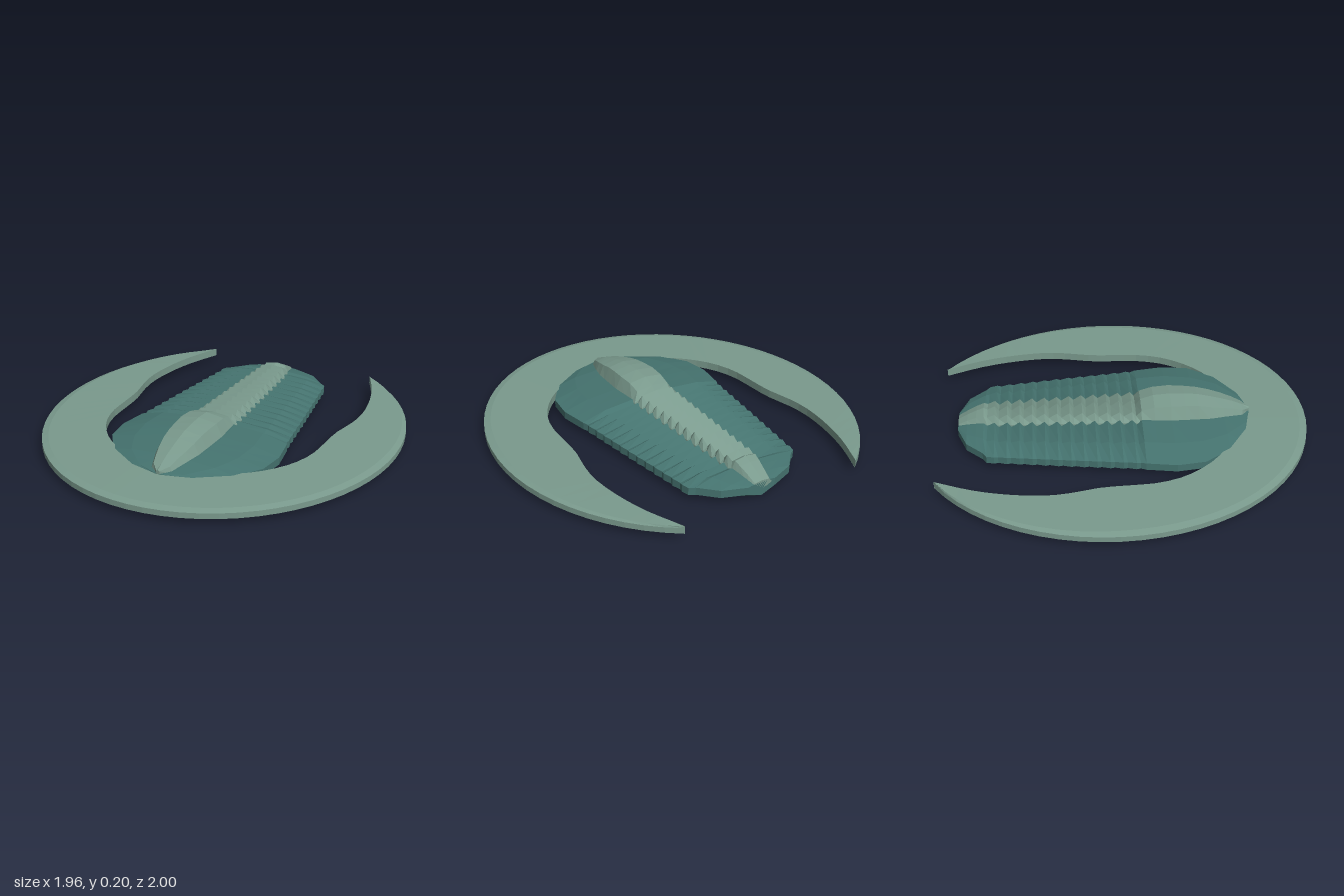
import * as THREE from 'three';

const lerp = THREE.MathUtils.lerp;

// Piecewise-linear lookup in [key, value] pairs, keys descending
function sample(pairs, k) {
  for (let i = 0; i < pairs.length - 1; i++) {
    const [k0, v0] = pairs[i], [k1, v1] = pairs[i + 1];
    if (k >= k1) return lerp(v0, v1, (k0 - k) / (k0 - k1));
  }
  return pairs[pairs.length - 1][1];
}

// Skin a row of closed rings, with a cap at each end
function loft(rings) {
  const n = rings[0].length, index = [];
  for (let i = 0; i < rings.length - 1; i++) {
    for (let j = 0; j < n; j++) {
      const a = i * n + j, c = i * n + (j + 1) % n;
      index.push(a, a + n, c, a + n, c + n, c);
    }
  }
  const last = (rings.length - 1) * n;
  for (let j = 1; j < n - 1; j++) index.push(0, j, j + 1, last, last + j + 1, last + j);
  const geo = new THREE.BufferGeometry();
  geo.setAttribute('position', new THREE.Float32BufferAttribute(rings.flat(2), 3));
  geo.setIndex(index);
  geo.computeVertexNormals();
  return geo;
}

// Symmetrical ring: low centre point, right side going up, optional crown, left side
function ring(z, low, side, crown) {
  const pts = [[0, low, z], ...side.map(([x, y]) => [x, y, z])];
  if (crown !== undefined) pts.push([0, crown, z]);
  for (const [x, y] of [...side].reverse()) pts.push([-x, y, z]);
  return pts;
}

// Profiles along z
const WIDTH = [[0.69, 0.02], [0.65, 0.18], [0.54, 0.35], [0.4, 0.445], [0.25, 0.465], [0.06, 0.435],
  [-0.3, 0.39], [-0.74, 0.33], [-0.76, 0.295], [-0.85, 0.21], [-0.9, 0.08]];
const PLEURA = [[0.69, 0.08], [0.54, 0.105], [0.25, 0.122], [0.06, 0.125], [-0.74, 0.115], [-0.83, 0.1], [-0.9, 0.08]];
const LOBE_WIDTH = [[0.69, 0.012], [0.65, 0.065], [0.5, 0.12], [0.25, 0.145], [0.07, 0.135],
  [-0.3, 0.115], [-0.74, 0.09], [-0.9, 0.06]];
const LOBE_TOP = [[0.69, 0.1], [0.6, 0.14], [0.5, 0.172], [0.4, 0.196], [0.28, 0.208], [0.16, 0.2],
  [0.07, 0.17], [-0.74, 0.165], [-0.82, 0.135], [-0.9, 0.09]];

// Stations: smooth head, sawtooth segments, smooth tail; drop marks a groove
function stations() {
  const list = [0.69, 0.65, 0.6, 0.54, 0.47, 0.4, 0.33, 0.25, 0.16, 0.09].map(z => ({ z, drop: 0 }));
  for (let i = 0; i < 12; i++) {
    const z = 0.05 - i * 0.0673;
    list.push({ z: z + 0.012, drop: 1 }, { z: z - 0.01, drop: 0 });
  }
  list.push({ z: -0.74, drop: 0.6 });
  for (const z of [-0.76, -0.8, -0.85, -0.88, -0.9]) list.push({ z, drop: 0 });
  return list;
}

function makeBody() {
  return loft(stations().map(({ z, drop }) => {
    const w = sample(WIDTH, z) - drop * 0.008;
    const a = Math.min(sample(LOBE_WIDTH, z), w * 0.6);
    const p = sample(PLEURA, z) - drop * 0.022;
    const edge = Math.min(0.075, p - 0.004);
    return ring(z, 0.004, [
      [w, 0.034],
      [w, edge - drop * 0.004],
      [lerp(a, w, 0.55), lerp(edge, p, 0.72)],
      [a, p],
    ]);
  }));
}

function makeLobe() {
  return loft(stations().map(({ z, drop }) => {
    const a = sample(LOBE_WIDTH, z);
    const p = sample(PLEURA, z) - 0.026;
    const top = sample(LOBE_TOP, z) - drop * 0.032;
    return ring(z, p - 0.01, [
      [a, p],
      [a * 0.98, p + 0.014],
      [a * 0.72, lerp(p, top, 0.86)],
    ], top);
  }));
}

// Crescent brim swept from one horn tip round the front to the other
function makeBrim() {
  const half = [[0.52, -0.997], [0.6, -0.8], [0.645, -0.62], [0.665, -0.43], [0.652, -0.3], [0.622, -0.16],
    [0.612, 0], [0.605, 0.12], [0.57, 0.25], [0.5, 0.37], [0.38, 0.49], [0.2, 0.58]];
  const pts = [...half.map(([x, z]) => [-x, z]), [0, 0.61], ...[...half].reverse()];
  const inner = new THREE.CatmullRomCurve3(pts.map(([x, z]) => new THREE.Vector3(x, 0, z)));
  const steps = 56, rings = [];
  for (let i = 0; i <= steps; i++) {
    const t = i / steps, angle = lerp(-2.583, 2.583, t);
    const a = inner.getPointAt(t);
    const b = new THREE.Vector3(0.98 * Math.sin(angle), 0, -0.08 + 1.08 * Math.cos(angle));
    const at = (f, y) => [lerp(a.x, b.x, f), y, lerp(a.z, b.z, f)];
    rings.push([at(0, 0.034), at(1, 0.034), at(1, 0.064), at(0.9, 0.073), at(0, 0.077)]);
  }
  return loft(rings);
}

export function createModel() {
  const group = new THREE.Group();
  const pale = new THREE.MeshStandardMaterial({ color: 0x7a9a8d, flatShading: true });
  const teal = new THREE.MeshStandardMaterial({ color: 0x45736f, flatShading: true });
  const add = (name, geometry, material) => {
    const mesh = new THREE.Mesh(geometry, material);
    mesh.name = name;
    group.add(mesh);
  };
  add('crescentBrim', makeBrim(), pale);
  add('segmentedBody', makeBody(), teal);
  add('axialLobe', makeLobe(), pale);
  // Set the keel on the ground
  group.position.y = -0.004;
  return group;
}
